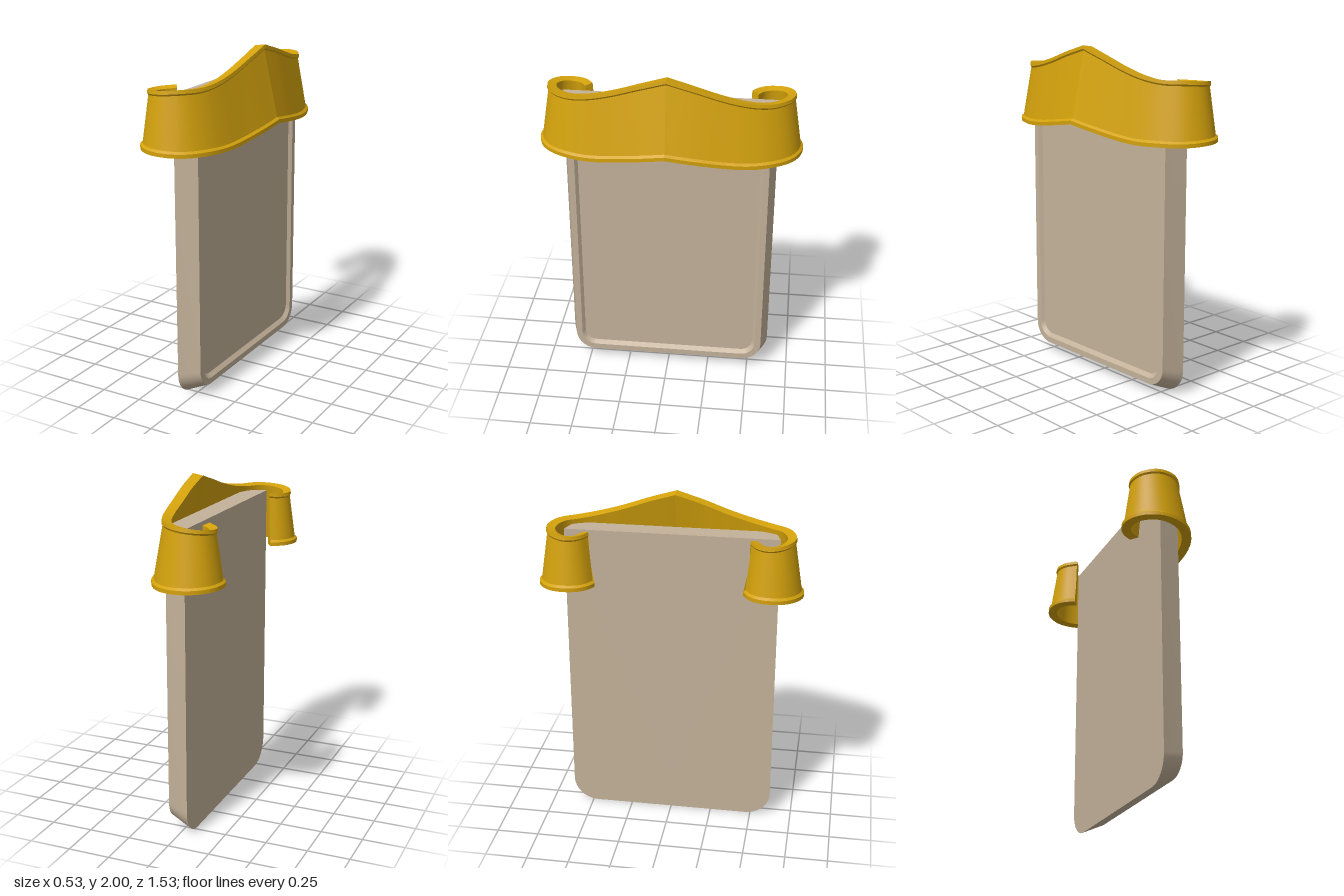
import * as THREE from 'three';
import { toCreasedNormals } from 'three/addons/utils/BufferGeometryUtils.js';

// Skin a list of equal-length rings; optionally close the first and last ring.
function loft(rings, capStart, capEnd, crease) {
  const pos = [];
  const tri = (a, b, c) => [a, b, c].forEach((p) => pos.push(p.x, p.y, p.z));
  const n = rings[0].length;
  for (let r = 0; r < rings.length - 1; r++) {
    const a = rings[r], b = rings[r + 1];
    for (let i = 0; i < n; i++) {
      const j = (i + 1) % n;
      tri(a[i], a[j], b[j]);
      tri(a[i], b[j], b[i]);
    }
  }
  const cap = (ring, flip) => {
    const c = ring.reduce((s, p) => s.add(p), new THREE.Vector3()).divideScalar(n);
    ring.forEach((p, i) => {
      const q = ring[(i + 1) % n];
      flip ? tri(c, q, p) : tri(c, p, q);
    });
  };
  if (capStart) cap(rings[0], true);
  if (capEnd) cap(rings[rings.length - 1], false);
  const g = new THREE.BufferGeometry();
  g.setAttribute('position', new THREE.Float32BufferAttribute(pos, 3));
  return toCreasedNormals(g, crease);
}

// Upright outline at depth x: square top corners, rounded bottom corners.
function panelOutline(x, half, bottom, top, radius) {
  const pts = [new THREE.Vector3(x, top, half)];
  const steps = 12;
  for (const side of [1, -1]) {
    for (let i = 0; i <= steps; i++) {
      const a = (side > 0 ? i : steps - i) / steps * Math.PI / 2;
      pts.push(new THREE.Vector3(
        x,
        bottom + radius * (1 - Math.sin(a)),
        side * (half - radius * (1 - Math.cos(a)))
      ));
    }
  }
  pts.push(new THREE.Vector3(x, top, -half));
  return pts;
}

// Band stations from the middle to the curled end:
// inner edge x, z, top height, bottom height, top thickness, bottom flare
const STATIONS = [
  [0.10, 0.00, 2.000, 1.555, 0.065, 0.160],
  [0.10, 0.15, 1.955, 1.530, 0.060, 0.145],
  [0.09, 0.30, 1.905, 1.505, 0.058, 0.130],
  [0.075, 0.44, 1.868, 1.490, 0.055, 0.120],
  [0.045, 0.55, 1.850, 1.490, 0.052, 0.115],
  [-0.01, 0.63, 1.848, 1.490, 0.050, 0.110],
  [-0.09, 0.66, 1.840, 1.495, 0.050, 0.105],
  [-0.155, 0.635, 1.830, 1.500, 0.047, 0.095],
  [-0.18, 0.58, 1.820, 1.505, 0.045, 0.090],
  [-0.163, 0.533, 1.820, 1.505, 0.045, 0.090],
  [-0.112, 0.497, 1.825, 1.505, 0.045, 0.085],
];

function bandRings() {
  const curve = (f) => new THREE.CatmullRomCurve3(STATIONS.map(f), false, 'catmullrom');
  const path = curve(([x, z, top]) => new THREE.Vector3(x, top, z));
  const size = curve(([, , , bottom, t, f]) => new THREE.Vector3(bottom, t, f));
  const steps = 80, rings = [];
  for (let i = 0; i <= steps; i++) {
    const p = path.getPoint(i / steps);
    const { x: yb, y: t, z: f } = size.getPoint(i / steps);
    const d = path.getTangent(i / steps);
    const out = i === 0
      ? new THREE.Vector3(1, 0, 0)
      : new THREE.Vector3(d.z, 0, -d.x).normalize();
    const yt = p.y;
    // Flared wall with a small raised lip along the top and bottom
    const profile = [
      [0, yt - 0.01], [f - 0.055, yb], [f, yb], [f, yb + 0.022],
      [f - 0.014, yb + 0.034], [t - 0.004, yt - 0.03], [t + 0.003, yt - 0.02], [t, yt],
    ];
    rings.push(profile.map(([o, y]) => new THREE.Vector3(p.x + out.x * o, y, p.z + out.z * o)));
  }
  return rings;
}

export function createModel() {
  const group = new THREE.Group();
  const add = (name, geometry, color, parent = group) => {
    const mesh = new THREE.Mesh(geometry, new THREE.MeshStandardMaterial({ color }));
    mesh.name = name;
    parent.add(mesh);
  };

  // Bevelled panel with a shallow recess on its +x face
  add('panel', loft([
    panelOutline(-0.06, 0.62, 0, 1.81, 0.15),
    panelOutline(0.07, 0.583, 0.06, 1.81, 0.12),
    panelOutline(0.07, 0.547, 0.095, 1.77, 0.09),
    panelOutline(0.05, 0.53, 0.118, 1.755, 0.075),
  ], true, true, 0.4), 0xc4b29a);

  // Peaked band, two mirrored halves ending in curls
  const band = new THREE.Group();
  band.name = 'curledBand';
  group.add(band);
  const rings = bandRings();
  const mirrored = rings
    .map((ring) => ring.map((p) => new THREE.Vector3(p.x, p.y, -p.z)))
    .reverse();
  add('bandLeftHalf', loft(rings, false, true, 0.4), 0xd4a20c, band);
  add('bandRightHalf', loft(mirrored, true, false, 0.4), 0xd4a20c, band);

  return group;
}
